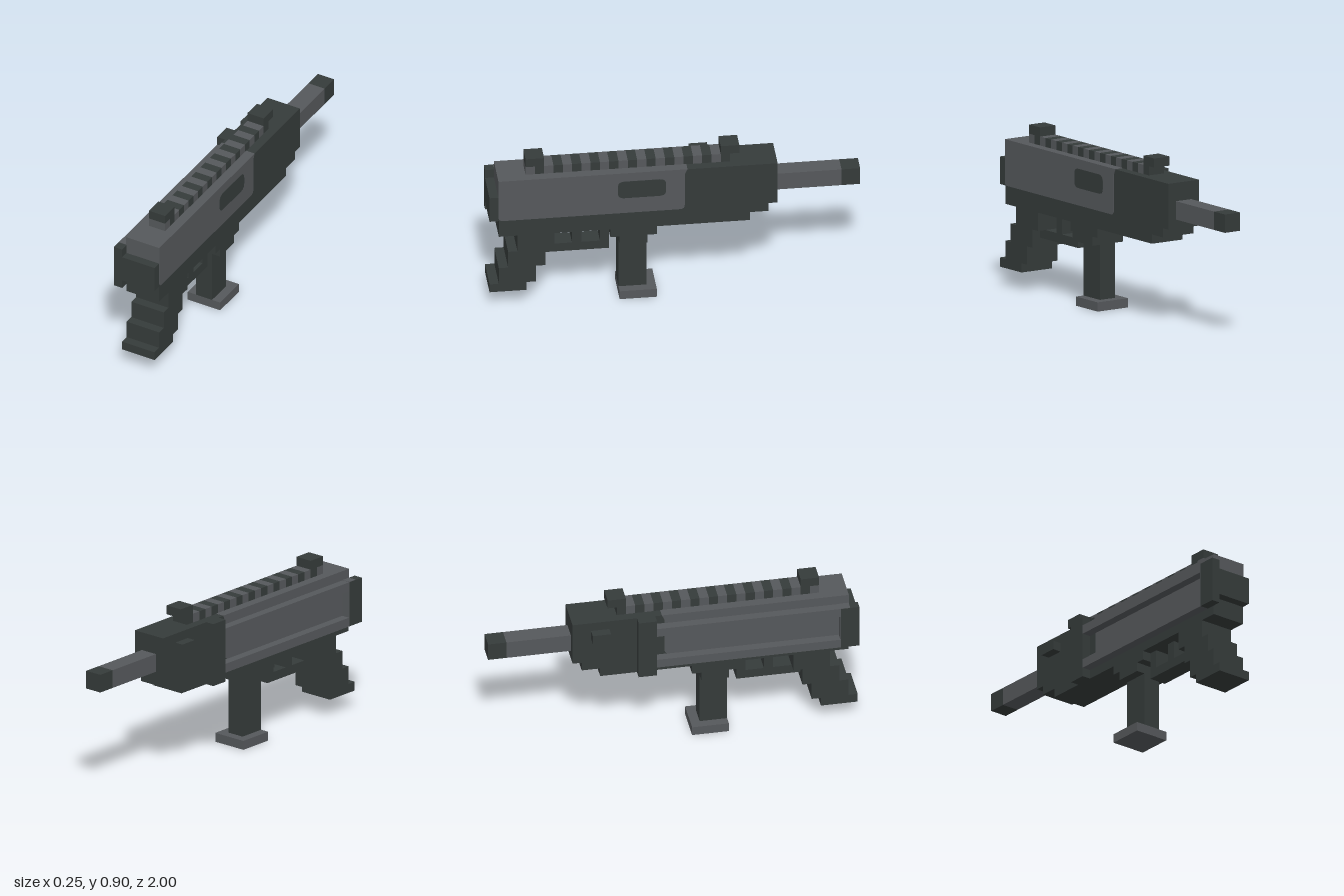
import * as THREE from 'three';

export function createModel() {
  const model = new THREE.Group();
  const dark = new THREE.MeshStandardMaterial({ color: 0x353b3a });
  dark.name = 'darkGunmetal';
  const light = new THREE.MeshStandardMaterial({ color: 0x55585b });
  light.name = 'lightSteel';

  const add = (name, geometry, material) => {
    const mesh = new THREE.Mesh(geometry, material);
    mesh.name = name;
    model.add(mesh);
    return mesh;
  };
  // Box given by its limits on each axis
  const box = (name, material, [x0, x1], [y0, y1], [z0, z1]) => {
    const g = new THREE.BoxGeometry(x1 - x0, y1 - y0, z1 - z0);
    g.translate((x0 + x1) / 2, (y0 + y1) / 2, (z0 + z1) / 2);
    return add(name, g, material);
  };
  // Side profile drawn as (-z, y), extruded from x0 to x1
  const slab = (name, material, shape, [x0, x1]) => {
    const g = new THREE.ExtrudeGeometry(shape, { depth: x1 - x0, bevelEnabled: false, curveSegments: 6 });
    g.translate(0, 0, x0);
    g.rotateY(Math.PI / 2);
    return add(name, g, material);
  };
  const profile = (points) => new THREE.Shape(points.map(([z, y]) => new THREE.Vector2(-z, y)));

  const full = [-0.075, 0.125];
  const narrow = [-0.025, 0.075];
  const outer = [-0.125, -0.075];

  // Receiver with a stepped nose
  slab('receiver', dark, profile([
    [0.95, 0.45], [-0.4, 0.45], [-0.4, 0.5], [-0.5, 0.5],
    [-0.5, 0.55], [-0.55, 0.55], [-0.55, 0.8], [0.95, 0.8],
  ]), full);

  // Light upper cover with rounded lower corners
  const r = 0.025;
  const cover = new THREE.Shape();
  cover.moveTo(-0.952 + r, 0.55);
  cover.lineTo(0.05 - r, 0.55);
  cover.quadraticCurveTo(0.05, 0.55, 0.05, 0.55 + r);
  cover.lineTo(0.05, 0.77);
  cover.lineTo(0.065, 0.802);
  cover.lineTo(-0.952, 0.802);
  cover.lineTo(-0.952, 0.55 + r);
  cover.quadraticCurveTo(-0.952, 0.55, -0.952 + r, 0.55);
  slab('upperCover', light, cover, [-0.077, 0.127]);

  // Ejection port on the left side
  const port = new THREE.Shape();
  const [pa, pb, pc, pd, q] = [-0.31, -0.05, 0.645, 0.75, 0.035];
  port.moveTo(pa + q, pc);
  port.lineTo(pb - q, pc);
  port.quadraticCurveTo(pb, pc, pb, pc + q);
  port.lineTo(pb, pd - q);
  port.quadraticCurveTo(pb, pd, pb - q, pd);
  port.lineTo(pa + q, pd);
  port.quadraticCurveTo(pa, pd, pa, pd - q);
  port.lineTo(pa, pc + q);
  port.quadraticCurveTo(pa, pc, pa + q, pc);
  slab('ejectionPort', dark, port, [0.125, 0.129]);

  // Barrel and muzzle
  box('barrel', light, narrow, [0.6, 0.7], [-0.9, -0.55]);
  box('muzzle', dark, narrow, [0.6, 0.7], [-1, -0.9]);

  // Top rail of alternating segments, with sights
  for (let i = 0; i < 22; i++) {
    const z = -0.3 + i * 0.05;
    box('railSegment', i % 2 ? light : dark, narrow, [0.8, 0.85], [z, z + 0.05]);
  }
  box('frontSight', dark, narrow, [0.85, 0.9], [-0.35, -0.25]);
  box('rearSight', dark, narrow, [0.85, 0.9], [0.7, 0.8]);

  // Folded stock along the right side
  box('stockHinge', dark, outer, [0.45, 0.8], [-0.2, -0.1]);
  for (const y of [0.5, 0.7]) box('stockRail', light, outer, [y, y + 0.05], [-0.1, 0.9]);
  box('stockEnd', dark, outer, [0.5, 0.75], [0.9, 1]);
  box('stockEndTop', light, outer, [0.75, 0.752], [0.9, 0.95]);
  box('stockEndInner', light, outer, [0.55, 0.7], [0.897, 0.9]);
  box('buttPlate', dark, full, [0.55, 0.7], [0.95, 1]);
  box('chargingHandle', dark, outer, [0.7, 0.75], [-0.45, -0.35]);

  // Raked pistol grip in steps
  slab('grip', dark, profile([
    [0.85, 0.45], [0.85, 0.35], [0.9, 0.35], [0.9, 0.25], [0.95, 0.25], [0.95, 0.15],
    [1, 0.15], [1, 0.1], [0.8, 0.1], [0.8, 0.15], [0.75, 0.15], [0.75, 0.25],
    [0.7, 0.25], [0.7, 0.35], [0.65, 0.35], [0.65, 0.45],
  ]), full);

  // Trigger and guard
  box('triggerGuard', dark, narrow, [0.3, 0.35], [0.35, 0.7]);
  box('guardPost', dark, narrow, [0.35, 0.45], [0.35, 0.4]);
  box('trigger', dark, narrow, [0.35, 0.45], [0.5, 0.55]);

  // Magazine well, magazine and foot
  box('magazineWell', dark, full, [0.4, 0.45], [0.1, 0.35]);
  box('magazineCollar', dark, full, [0.35, 0.4], [0.15, 0.3]);
  box('magazine', dark, narrow, [0.05, 0.35], [0.15, 0.3]);
  box('magazineFoot', light, full, [0, 0.05], [0.1, 0.3]);

  return model;
}
